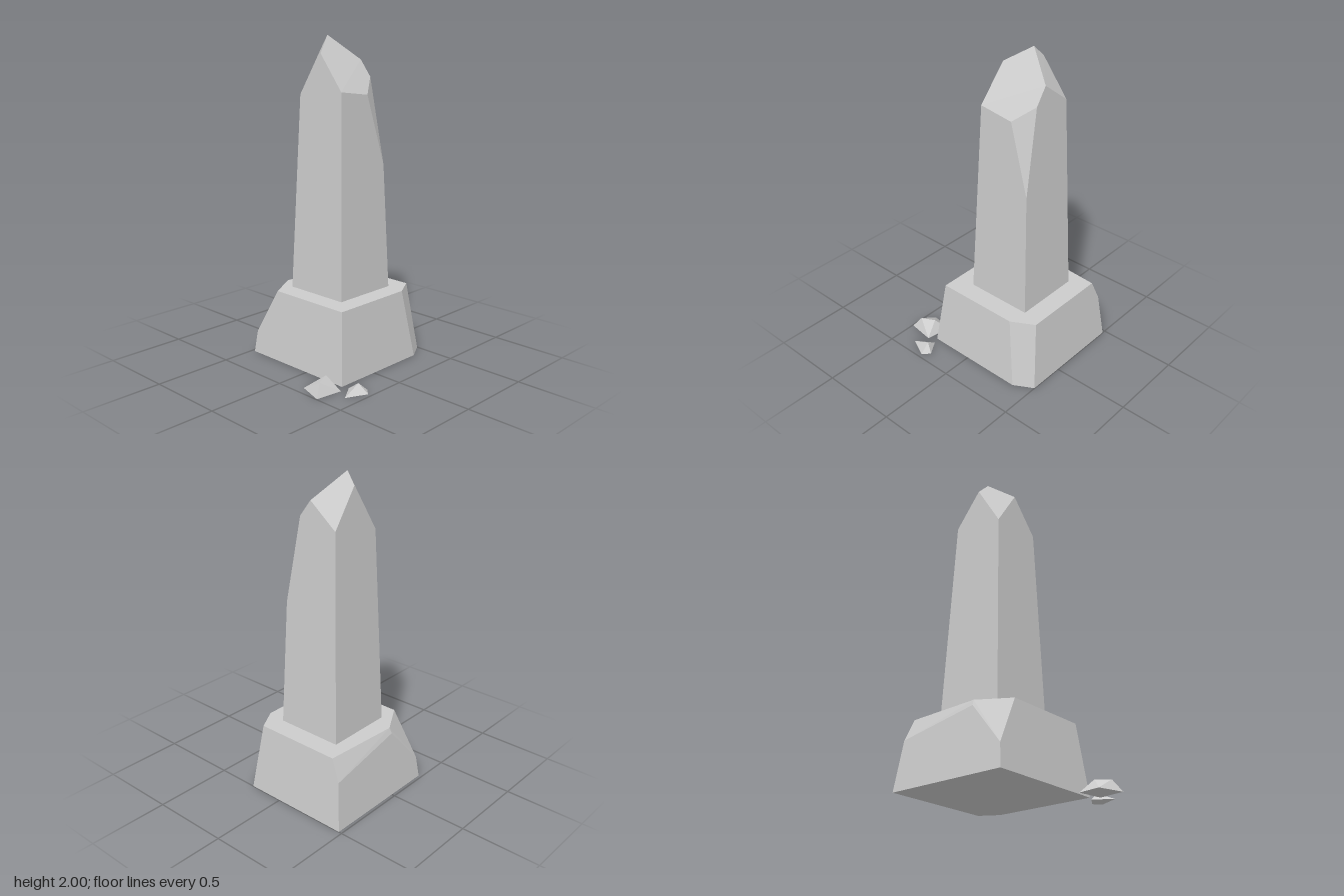
import * as THREE from 'three';
import { ConvexGeometry } from 'three/addons/geometries/ConvexGeometry.js';

const MIN = 'min', MAX = 'max';

// Point picker for a tapered block: MIN / MAX snap a coordinate to the sloping side at height y.
function taperedBlock(cx, cz, half, y0, slope) {
  return ([x, y, z]) => {
    const r = half - (y - y0) * slope;
    const snap = (v, c) => (v === MIN ? c - r : v === MAX ? c + r : v);
    return new THREE.Vector3(snap(x, cx), y, snap(z, cz));
  };
}

export function createModel() {
  const group = new THREE.Group();
  const stone = new THREE.MeshStandardMaterial({ color: 0xcccccc, flatShading: true });

  function addStone(name, points) {
    const mesh = new THREE.Mesh(new ConvexGeometry(points), stone);
    mesh.name = name;
    group.add(mesh);
  }

  // Plinth with chipped corners and a worn left edge
  const top = 0.435;
  addStone('plinth', [
    [MIN, 0, MIN], [MIN, 0, MAX], [MAX, 0, MAX],
    [0.23, 0, MIN], [MAX, 0, -0.38],              // back corner chip, foot
    [0.17, top, MIN], [MAX, top, -0.31],          // back corner chip, top
    [MAX, top, MAX],
    [-0.305, top, MAX], [-0.42, top, 0.035],      // front corner chip, top
    [MIN, 0.14, MAX],                             // front corner chip, tip
    [MIN, 0.4, 0.04], [MIN, 0.3, MIN],            // worn left edge
    [-0.387, top, MIN],
  ].map(taperedBlock(-0.09, -0.11, 0.389, 0, 0.113)));

  // Tapering shaft broken off into a slanted, pointed top
  addStone('shaft', [
    [MIN, top, MIN], [MAX, top, MIN], [MAX, top, MAX], [MIN, top, MAX],
    [MAX, 1.22, MIN], [0, 1.75, MIN], [MAX, 1.655, -0.163], // long back corner chip
    [MAX, 1.685, MAX], [-0.095, 1.9, MAX], [MIN, 1.65, MAX], // front rim
    [MIN, 1.93, -0.115], [MIN, 1.71, MIN], [-0.075, 1.85, MIN], // left and back rim
    [-0.185, 2, -0.096],                                    // peak
  ].map(taperedBlock(-0.089, -0.11, 0.215, top, 0.036)));

  // Fallen fragments on the ground
  const vectors = (list) => list.map((p) => new THREE.Vector3(...p));
  addStone('largeFragment', vectors([
    [0.17, 0, 0.298], [0.335, 0, 0.325], [0.31, 0, 0.495], [0.148, 0, 0.443],
    [0.242, 0.08, 0.353], [0.28, 0.073, 0.443],
  ]));
  addStone('smallFragment', vectors([
    [0.43, 0, 0.203], [0.475, 0, 0.245], [0.413, 0, 0.373], [0.338, 0, 0.262],
    [0.406, 0.05, 0.253],
  ]));

  return group;
}
